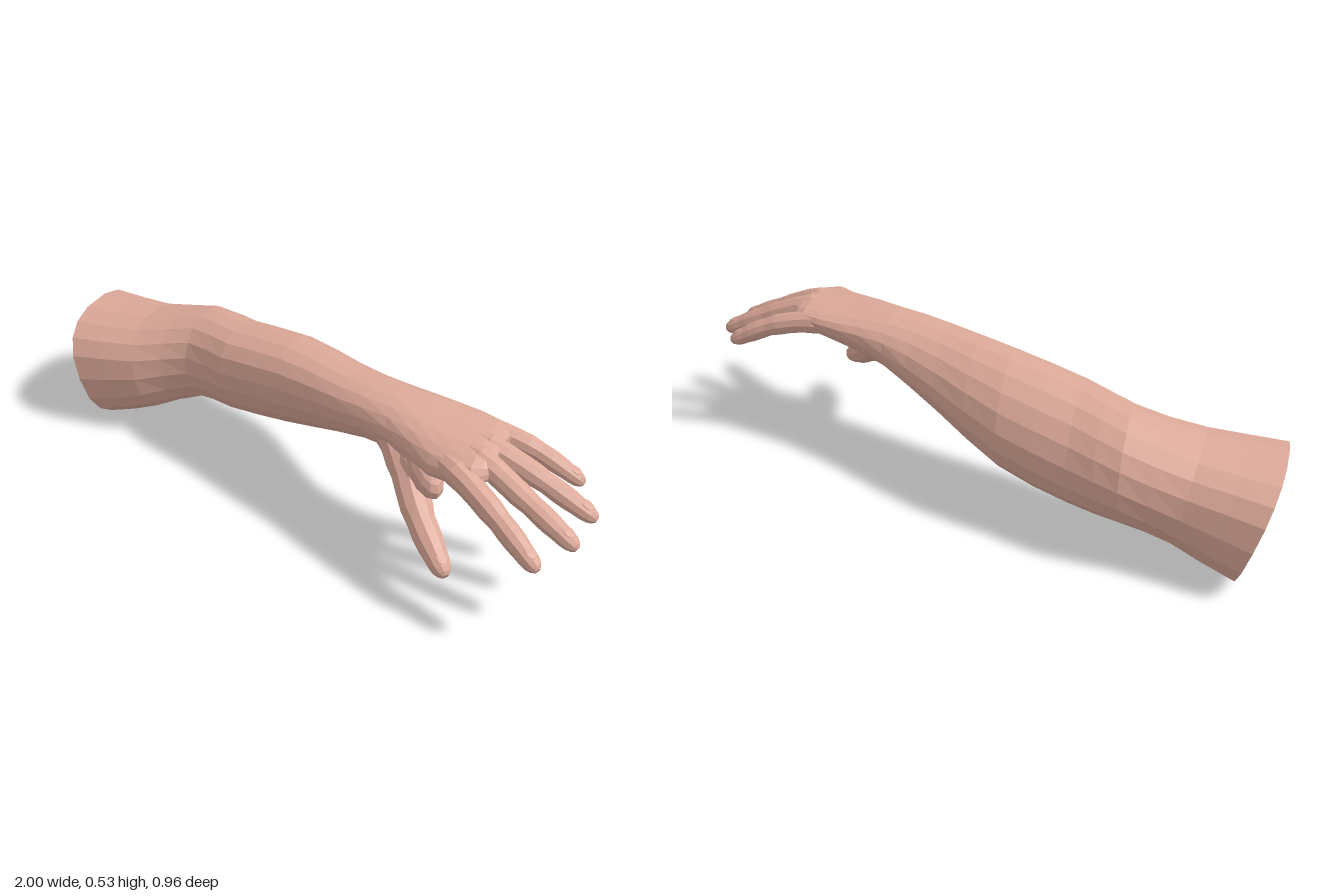
import * as THREE from 'three';

const SIDES = 18;
const { lerp, smoothstep } = THREE.MathUtils;

// Skin a list of rings (equal point counts) into a faceted surface, with optional end caps
function loft(rings, capStart, capEnd) {
  const faces = [];
  const n = rings[0].length;
  const last = rings[rings.length - 1];
  const centre = (r) => r.reduce((s, p) => s.add(p), new THREE.Vector3()).divideScalar(n);
  const startCentre = centre(rings[0]);
  const endCentre = centre(last);
  for (let j = 0; j < n; j++) {
    const k = (j + 1) % n;
    for (let i = 0; i < rings.length - 1; i++) {
      const p = rings[i];
      const q = rings[i + 1];
      faces.push(p[j], q[j], p[k], q[j], q[k], p[k]);
    }
    if (capStart) faces.push(startCentre, rings[0][j], rings[0][k]);
    if (capEnd) faces.push(endCentre, last[k], last[j]);
  }
  const geometry = new THREE.BufferGeometry().setFromPoints(faces);
  geometry.computeVertexNormals();
  return geometry;
}

// Limb outline: x, top, bottom, back, front
const OUTLINE = [
  [-0.94, 0.395, 0.005, -0.48, -0.012],
  [-0.72, 0.41, 0.075, -0.43, -0.032],
  [-0.53, 0.465, 0.13, -0.42, -0.068],
  [-0.36, 0.49, 0.145, -0.365, -0.005],
  [-0.12, 0.525, 0.195, -0.29, 0.06],
  [0.12, 0.533, 0.292, -0.155, 0.142],
  [0.33, 0.54, 0.368, -0.045, 0.215],
  [0.5, 0.53, 0.395, 0.004, 0.305],
  [0.64, 0.522, 0.425, 0.045, 0.335],
  [0.69, 0.505, 0.438, 0.1, 0.29],
];
const ELBOW = 4;
const WRIST = 12;

// Oval sections, two per outline span: they lean at the upper arm,
// twist along the forearm and flatten towards the palm
function limbRings() {
  const smooth = (pick) => new THREE.CatmullRomCurve3(OUTLINE.map(pick), false, 'catmullrom');
  const heights = smooth(([x, top, bottom]) => new THREE.Vector3(x, top, bottom));
  const depths = smooth(([x, , , back, front]) => new THREE.Vector3(x, back, front));
  const spans = (OUTLINE.length - 1) * 2;
  const rings = [];
  for (let i = 0; i <= spans; i++) {
    const { x, y: top, z: bottom } = heights.getPoint(i / spans);
    const { y: back, z: front } = depths.getPoint(i / spans);
    const lean = -0.32 * (1 - smoothstep(x, -0.88, -0.5));
    const twist = -0.26 * smoothstep(x, -0.75, -0.3) + 0.56 * smoothstep(x, 0.15, 0.6);
    const power = 0.8 + 0.15 * smoothstep(x, -0.9, -0.5) - 0.15 * smoothstep(x, 0.25, 0.6);
    const bulge = (v) => Math.sign(v) * Math.pow(Math.abs(v), power);
    const ring = [];
    for (let j = 0; j < SIDES; j++) {
      const angle = (j / SIDES) * Math.PI * 2;
      const dy = bulge(Math.sin(angle)) * (top - bottom) / 2;
      const dz = bulge(Math.cos(angle + twist)) * (front - back) / 2;
      ring.push(new THREE.Vector3(x + lean * dy, (top + bottom) / 2 + dy, (front + back) / 2 + dz));
    }
    rings.push(ring);
  }
  return rings;
}

// Axes across a path direction: sideways and upwards
function axes(t) {
  const side = new THREE.Vector3().crossVectors(t, new THREE.Vector3(0, 1, 0)).normalize();
  return { side, up: new THREE.Vector3().crossVectors(side, t) };
}

// Digits: knuckle, middle joint and tip, root and tip radii, how deep the root sits in the hand
const DIGITS = {
  littleFinger: [[[0.6, 0.478, 0.07], [0.75, 0.447, 0.067], [0.92, 0.365, 0.068]], 0.042, 0.027, 0.3],
  ringFinger: [[[0.65, 0.483, 0.17], [0.79, 0.435, 0.18], [0.997, 0.34, 0.193]], 0.044, 0.03, 0.3],
  middleFinger: [[[0.65, 0.478, 0.24], [0.79, 0.418, 0.28], [0.98, 0.325, 0.33]], 0.044, 0.03, 0.3],
  indexFinger: [[[0.6, 0.457, 0.302], [0.74, 0.402, 0.375], [0.905, 0.318, 0.464]], 0.046, 0.03, 0.3],
  thumb: [[[0.405, 0.375, 0.21], [0.49, 0.275, 0.31], [0.625, 0.172, 0.43]], 0.07, 0.034, 0.75],
};

// Path of a digit, rooted inside the hand
function digitPath(joints, depth) {
  const points = joints.map((p) => new THREE.Vector3(...p));
  const root = points[0].clone().lerp(new THREE.Vector3(0.3, 0.46, 0.1), depth);
  return new THREE.CatmullRomCurve3([root, ...points]);
}

// Tapered digit with slightly swollen joints and a rounded tip
function digit(path, rootRadius, tipRadius) {
  const rings = [];
  for (let i = 0; i < 14; i++) {
    const u = Math.sin((i / 14) * Math.PI / 2);
    const { side, up } = axes(path.getTangentAt(u));
    const rounding = Math.sqrt(1 - (Math.max(0, u - 0.88) / 0.12) ** 2);
    const r = lerp(rootRadius, tipRadius, u) * rounding * (1 + 0.05 * Math.cos(u * Math.PI * 8));
    const ring = [];
    for (let j = 0; j < 10; j++) {
      const angle = (j / 10) * Math.PI * 2;
      ring.push(path.getPointAt(u)
        .addScaledVector(side, r * Math.cos(angle))
        .addScaledVector(up, r * Math.sin(angle)));
    }
    rings.push(ring);
  }
  return loft(rings, true, true);
}

export function createModel() {
  const model = new THREE.Group();
  model.name = 'arm';
  const skin = new THREE.MeshStandardMaterial({ color: 0xdca999, flatShading: true });
  skin.name = 'skin';
  const add = (geometry, name) => {
    const mesh = new THREE.Mesh(geometry, skin);
    mesh.name = name;
    model.add(mesh);
    return mesh;
  };
  // Faceted ellipsoid whose long axis follows a direction
  const pad = (name, radius, scale, position, direction) => {
    const { side, up } = axes(direction);
    const mesh = add(new THREE.SphereGeometry(radius, 12, 8), name);
    mesh.scale.set(...scale);
    mesh.quaternion.setFromRotationMatrix(new THREE.Matrix4().makeBasis(direction, up, side));
    mesh.position.copy(position);
  };

  // Limb, split at elbow and wrist on shared rings
  const rings = limbRings();
  add(loft(rings.slice(0, ELBOW + 1), true, false), 'upperArm');
  add(loft(rings.slice(ELBOW, WRIST + 1), false, false), 'forearm');
  add(loft(rings.slice(WRIST), false, true), 'palm');

  // Fingers and thumb, each with a nail on top of the tip
  for (const [name, [joints, rootRadius, tipRadius, depth]] of Object.entries(DIGITS)) {
    const path = digitPath(joints, depth);
    add(digit(path, rootRadius, tipRadius), name);
    const tangent = path.getTangentAt(0.89);
    const position = path.getPointAt(0.89).addScaledVector(axes(tangent).up, tipRadius * 0.85);
    pad(name + 'Nail', tipRadius, [0.8, 0.16, 0.6], position, tangent);
  }

  // Fleshy base of the thumb and the web towards the index finger
  pad('thumbBase', 0.12, [1, 0.6, 0.5], new THREE.Vector3(0.425, 0.385, 0.205),
    new THREE.Vector3(0.55, -0.6, 0.58).normalize());
  pad('thumbWeb', 0.1, [1, 0.55, 0.5], new THREE.Vector3(0.475, 0.4, 0.245),
    new THREE.Vector3(0.6, -0.55, 0.5).normalize());

  return model;
}
